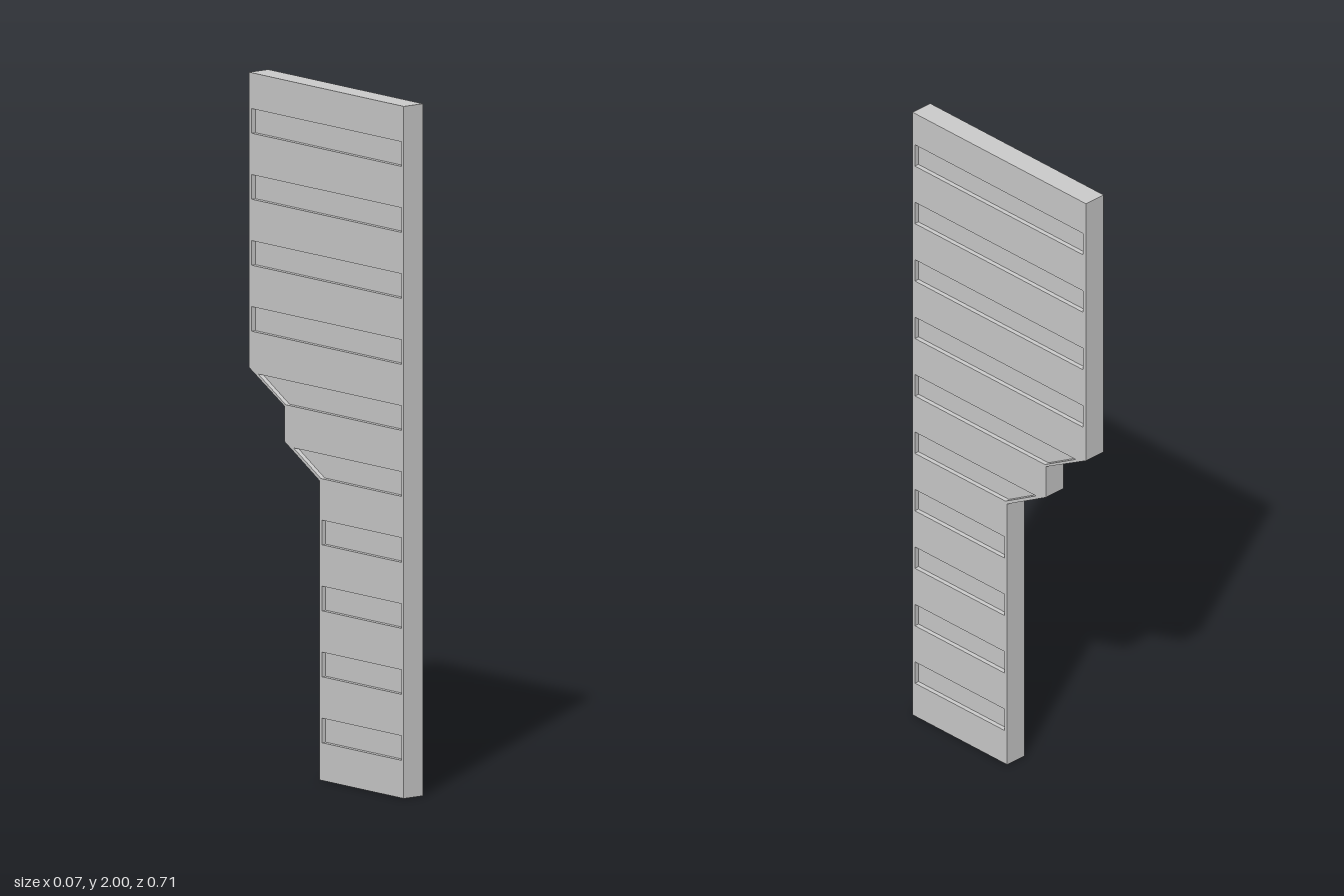
import * as THREE from 'three';
import { mergeGeometries } from 'three/addons/utils/BufferGeometryUtils.js';

const HALF = 0.035;   // half thickness of the panel
const DEPTH = 0.014;  // groove depth

// Panel outline as [z, y], anticlockwise seen from +x
const OUTLINE = [
  [0.353, 0], [-0.032, 0], [-0.032, 0.865], [-0.19, 0.955],
  [-0.19, 1.057], [-0.353, 1.147], [-0.353, 2], [0.353, 2],
];

// Ten evenly spaced grooves; the two beside the steps have a slanted end
function grooveOutline(i) {
  const y0 = 0.109 + i * 0.1907, y1 = y0 + 0.071;
  let low = i < 4 ? -0.021 : -0.341, high = low;
  if (i === 4) [low, high] = [-0.025, -0.15];
  if (i === 5) [low, high] = [-0.186, -0.311];
  return [[0.343, y0], [low, y0], [high, y1], [0.343, y1]];
}

// Flat face at x = s * dist, looking along s * x
function face(points, s, dist, holes = []) {
  const to2D = (list) => list.map(([z, y]) => new THREE.Vector2(-s * z, y));
  const shape = new THREE.Shape(to2D(points));
  shape.holes = holes.map((h) => new THREE.Path(to2D(h)));
  return new THREE.ShapeGeometry(shape)
    .translate(0, 0, dist).rotateY(s * Math.PI / 2).toNonIndexed();
}

// Band of wall quads along a closed outline, from x0 to x1
function wall(points, x0, x1) {
  const pos = [], uv = [];
  points.forEach(([za, ya], i) => {
    const [zb, yb] = points[(i + 1) % points.length];
    pos.push(x0, ya, za, x0, yb, zb, x1, yb, zb, x0, ya, za, x1, yb, zb, x1, ya, za);
    uv.push(0, 0, 1, 0, 1, 1, 0, 0, 1, 1, 0, 1);
  });
  const g = new THREE.BufferGeometry();
  g.setAttribute('position', new THREE.Float32BufferAttribute(pos, 3));
  g.setAttribute('uv', new THREE.Float32BufferAttribute(uv, 2));
  g.computeVertexNormals();
  return g;
}

export function createModel() {
  const group = new THREE.Group();
  group.name = 'groovedPanel';
  const material = new THREE.MeshStandardMaterial({ color: 0xcccccc, flatShading: true });
  const add = (name, parts) => {
    const mesh = new THREE.Mesh(mergeGeometries(parts), material);
    mesh.name = name;
    group.add(mesh);
  };
  const grooves = Array.from({ length: 10 }, (_, i) => grooveOutline(i));

  // Stepped slab with openings in both broad faces
  add('panel', [
    wall(OUTLINE, -HALF, HALF),
    face(OUTLINE, 1, HALF, grooves),
    face(OUTLINE, -1, HALF, grooves),
  ]);

  // Groove floors and inward-facing walls, on each side
  for (const s of [1, -1]) {
    const [x0, x1] = s > 0 ? [HALF - DEPTH, HALF] : [-HALF, DEPTH - HALF];
    add(s > 0 ? 'leftGrooves' : 'rightGrooves', grooves.flatMap((g) => [
      face(g, s, HALF - DEPTH),
      wall([...g].reverse(), x0, x1),
    ]));
  }
  return group;
}
